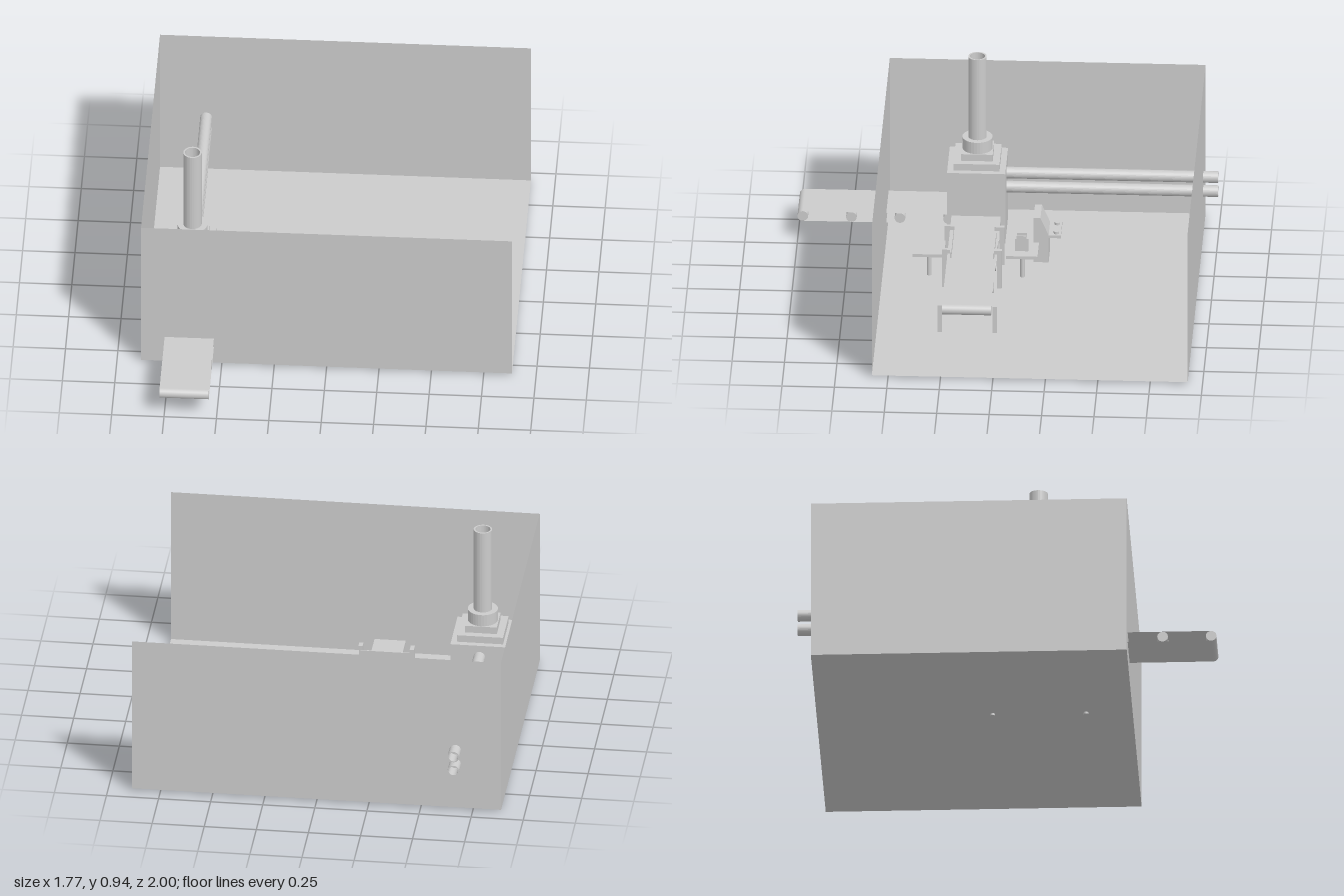
import * as THREE from 'three';

const grey = new THREE.MeshStandardMaterial({ color: 0xcccccc, side: THREE.DoubleSide });

export function createModel() {
  const model = new THREE.Group();
  const add = (name, geo, x, y, z, parent = model) => {
    const mesh = new THREE.Mesh(geo, grey);
    mesh.name = name;
    mesh.position.set(x, y, z);
    parent.add(mesh);
    return mesh;
  };
  // Box given by its minimum and maximum on each axis
  const box = (name, x0, x1, y0, y1, z0, z1, parent) =>
    add(name, new THREE.BoxGeometry(x1 - x0, y1 - y0, z1 - z0),
      (x0 + x1) / 2, (y0 + y1) / 2, (z0 + z1) / 2, parent);
  const plane = (name, w, h, x, y, z, rx = 0, ry = 0, parent = model) => {
    const mesh = add(name, new THREE.PlaneGeometry(w, h), x, y, z, parent);
    mesh.rotation.set(rx, ry, 0);
    return mesh;
  };
  // Hollow pipe standing on y = 0
  const pipeGeo = (outer, inner, length) => new THREE.ExtrudeGeometry(
    ringShape(outer, inner), { depth: length, bevelEnabled: false, curveSegments: 16 });

  // Room: floor and three thin walls, open on the +x side
  const room = new THREE.Group();
  room.name = 'room';
  model.add(room);
  const zMid = -0.176, depth = 1.506, width = 1.77, wallH = 0.795, wallY = 0.4075;
  plane('floor', width, depth, 0, 0.01, zMid, -Math.PI / 2, 0, room);
  plane('frontWall', width, wallH, 0, wallY, zMid + depth / 2, 0, 0, room);
  plane('backWall', width, wallH, 0, wallY, zMid - depth / 2, 0, 0, room);
  plane('sideWall', depth, wallH, -width / 2, wallY, zMid, 0, Math.PI / 2, room);

  // Conveyor along local +x: two belt sheets over evenly spaced rollers
  const conveyor = (name, length, count) => {
    const group = new THREE.Group();
    group.name = name;
    for (const y of [0.102, 0.153])
      plane('beltSheet', length, 0.235, length / 2, y, 0, -Math.PI / 2, 0, group);
    const roller = new THREE.CylinderGeometry(0.0255, 0.0255, 0.235, 24).rotateX(Math.PI / 2);
    for (let i = 0; i < count; i++)
      add('roller', roller, length * i / (count - 1), 0.1275, 0, group);
    model.add(group);
    return group;
  };
  conveyor('sideConveyor', 0.935, 5).position.set(-0.53, 0, 0.148);
  const outfeed = conveyor('outfeedConveyor', 0.695, 4);
  outfeed.position.set(-0.655, 0, 0.28);
  outfeed.rotation.y = -Math.PI / 2;

  // Conveyor posts and guide rails, mirrored about the belt
  for (const s of [-1, 1]) {
    const zAt = d => 0.145 + s * d;
    const span = (name, x0, x1, y0, y1, a, b) =>
      box(name, x0, x1, y0, y1, Math.min(zAt(a), zAt(b)), Math.max(zAt(a), zAt(b)));
    for (const x of [-0.312, -0.065, 0.405])
      span('post', x - 0.01, x + 0.01, 0.01, x > 0 ? 0.15 : 0.21, 0.12, 0.142);
    for (const x of [-0.312, -0.065])
      span('railArm', x - 0.01, x + 0.01, 0.19, 0.21, x < -0.2 ? 0.095 : 0.105, 0.12);
    span('guideRail', -0.312, -0.065, 0.16, 0.19, 0.099, 0.105);
  }

  // Machine: stepped housing, collar and feed pipe
  const mx = -0.665, mz = 0.148;
  const step = (name, half, y0, y1) => box(name, mx - half, mx + half, y0, y1, mz - half, mz + half);
  step('machineBody', 0.139, 0.01, 0.38);
  step('machineStep', 0.11, 0.38, 0.415);
  step('machineCap', 0.076, 0.415, 0.45);
  const collar = add('collar', pipeGeo(0.072, 0.044, 0.06), mx, 0.45, mz);
  const feed = add('feedPipe', pipeGeo(0.044, 0.036, 0.488), mx, 0.45, mz);
  collar.rotation.x = feed.rotation.x = -Math.PI / 2;

  // Two hollow pipes leaving through the back wall
  for (const y of [0.244, 0.319])
    add('exhaustPipe', pipeGeo(0.028, 0.023, 1.01), mx, y, -1);

  // Small pedestal tables either side of the belt
  for (const z of [-0.09, 0.355]) {
    box('tableTop', -0.26, -0.11, 0.14, 0.155, z - 0.075, z + 0.075);
    add('tableLeg', new THREE.CylinderGeometry(0.011, 0.011, 0.14, 16), -0.185, 0.07, z);
  }

  // Sensor on the rear table: hollow body with a rim
  for (const s of [-1, 1]) {
    box('sensorSide', -0.205, -0.165, 0.155, 0.22, -0.086 + s * 0.028 - 0.004, -0.086 + s * 0.028 + 0.004);
    box('sensorCheek', -0.185 + s * 0.017 - 0.003, -0.185 + s * 0.017 + 0.003, 0.155, 0.235, -0.11, -0.062);
  }

  // Wedge stand with a bolted shelf behind it
  const profile = new THREE.Shape([
    [0.135, 0.01], [0.135, 0.245], [0.168, 0.245], [0.207, 0.155], [0.207, 0.01],
  ].map(p => new THREE.Vector2(...p)));
  const wedge = add('wedgeStand', new THREE.ExtrudeGeometry(profile,
    { depth: 0.144, bevelEnabled: false }), -0.482, 0, 0);
  wedge.rotation.y = Math.PI / 2;
  box('shelf', -0.482, -0.338, 0.14, 0.155, -0.265, -0.165);
  for (const x of [-0.457, -0.362])
    add('bolt', new THREE.CylinderGeometry(0.013, 0.013, 0.012, 16), x, 0.161, -0.243);

  return model;
}

// Ring outline used for all hollow pipes
function ringShape(outer, inner) {
  const shape = new THREE.Shape().absarc(0, 0, outer, 0, Math.PI * 2, false);
  shape.holes.push(new THREE.Path().absarc(0, 0, inner, 0, Math.PI * 2, true));
  return shape;
}
